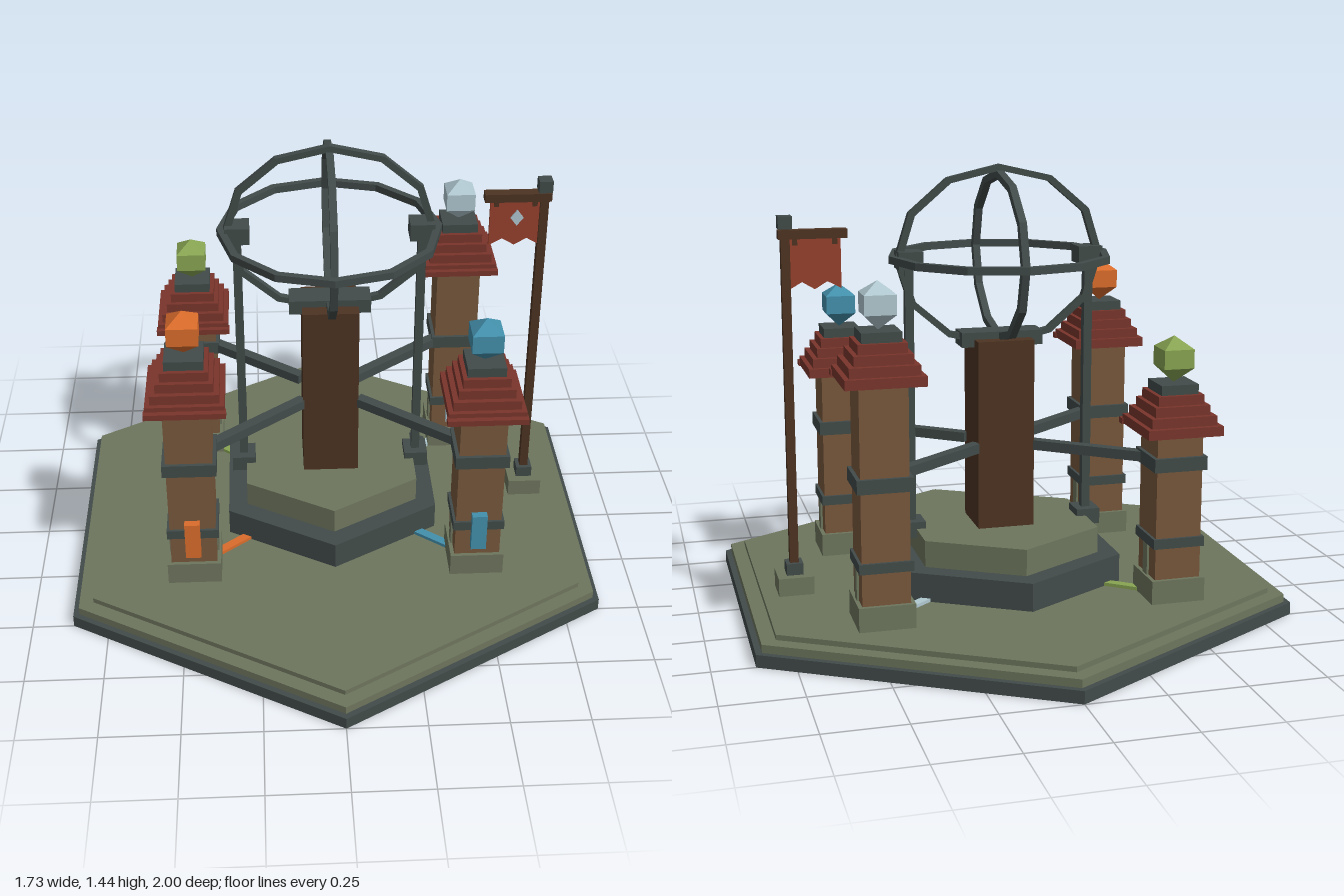
import * as THREE from 'three';

const mat = (name, hex, side = THREE.FrontSide) => {
  const m = new THREE.MeshStandardMaterial({ color: hex, side });
  m.name = name;
  return m;
};

export function createModel() {
  const M = {
    stone: mat('mossy stone', 0x6d755d),
    slate: mat('dark slate', 0x414b49),
    wood: mat('tower wood', 0x78583c),
    darkWood: mat('dark wood', 0x4c3322),
    roof: mat('roof red', 0x79352b),
    cloth: mat('banner red', 0x96402c, THREE.DoubleSide),
    orange: mat('orange crystal', 0xd96c2b),
    teal: mat('teal crystal', 0x4390ac),
    pale: mat('pale crystal', 0xb0c8d0),
    green: mat('green crystal', 0x88a552),
  };
  const model = new THREE.Group();
  model.name = 'elementalShrine';
  const CZ = -0.062; // depth of the shrine centre

  // Faceted mesh helper
  const add = (parent, name, geo, material, x = 0, y = 0, z = 0) => {
    const g = geo.index ? geo.toNonIndexed() : geo;
    g.computeVertexNormals();
    const mesh = new THREE.Mesh(g, material);
    mesh.name = name;
    mesh.position.set(x, y, z);
    parent.add(mesh);
    return mesh;
  };
  // Box from bottom y0 to top y1
  const box = (parent, name, material, w, d, y0, y1, x = 0, z = 0) =>
    add(parent, name, new THREE.BoxGeometry(w, y1 - y0, d), material, x, (y0 + y1) / 2, z);
  const hex = (name, material, r, y0, y1, z = 0) =>
    add(model, name, new THREE.CylinderGeometry(r, r, y1 - y0, 6), material, 0, (y0 + y1) / 2, z);

  // Hexagonal platform and dais
  hex('platformBase', M.slate, 1, 0, 0.04);
  hex('platformSlab', M.stone, 0.978, 0.04, 0.066);
  hex('platformTop', M.stone, 0.925, 0.066, 0.083);
  hex('daisLower', M.slate, 0.41, 0.083, 0.175, -0.067);
  hex('daisUpper', M.stone, 0.336, 0.175, 0.262, -0.067);

  // Central pillar
  box(model, 'pillar', M.darkWood, 0.187, 0.187, 0.262, 0.885, 0, CZ);
  box(model, 'pillarCap', M.slate, 0.27, 0.09, 0.86, 0.908, 0, CZ);

  // Armillary rings: twelve-sided, square in section
  const ring = (name, rx, rz, turn) => {
    const t = 0.012;
    const section = [[1 - t / rx, -t], [1 + t / rx, -t], [1 + t / rx, t], [1 - t / rx, t], [1 - t / rx, -t]];
    const g = new THREE.LatheGeometry(section.map(p => new THREE.Vector2(...p)), 12);
    g.scale(rx, 1, rz);
    turn(g);
    add(model, name, g, M.slate, 0, 1.148, CZ);
  };
  ring('horizontalRing', 0.352, 0.352, () => {});
  ring('frontRing', 0.334, 0.286, g => g.rotateX(Math.PI / 2));
  ring('sideRing', 0.266, 0.314, g => g.rotateZ(Math.PI / 2));

  // Ring supports
  for (const s of [-1, 1]) {
    box(model, 'supportFoot', M.slate, 0.08, 0.088, 0.232, 0.285, s * 0.3, CZ);
    box(model, 'supportPost', M.slate, 0.028, 0.028, 0.28, 1.13, s * 0.3, CZ);
    box(model, 'supportCap', M.slate, 0.08, 0.078, 1.118, 1.175, s * 0.298, CZ);
  }

  // Four-sided crystal finial with pointed ends
  const crystalGeo = () => {
    const r = 0.049 * Math.SQRT2;
    const pts = [[0, 0], [r, 0.05], [r, 0.11], [0, 0.148]].map(p => new THREE.Vector2(...p));
    return new THREE.LatheGeometry(pts, 4).rotateY(Math.PI / 4);
  };

  // Tower: eave is the height of the roof's lower edge
  const tower = (name, x, z, eave, gem) => {
    const t = new THREE.Group();
    t.name = name;
    t.position.set(x, 0, z);
    model.add(t);
    box(t, 'towerBase', M.stone, 0.176, 0.176, 0.083, 0.16);
    box(t, 'towerBody', M.wood, 0.15, 0.15, 0.16, eave + 0.03);
    box(t, 'lowerBand', M.slate, 0.168, 0.168, 0.264, 0.296);
    box(t, 'upperBand', M.slate, 0.174, 0.174, 0.514, 0.558);
    [0.123, 0.107, 0.09, 0.075].forEach((h, i) =>
      box(t, 'roofTier', M.roof, 2 * h, 2 * h, eave + i * 0.031, eave + (i + 1) * 0.031));
    box(t, 'frontEave', M.roof, 0.254, 0.03, eave - 0.003, eave + 0.016, 0, 0.127);
    box(t, 'roofCap', M.slate, 0.122, 0.122, eave + 0.124, eave + 0.155);
    add(t, 'crystal', crystalGeo(), gem, 0, eave + 0.153, 0);
    box(t, 'gemPanel', gem, 0.05, 0.03, 0.197, 0.33, 0, 0.086);
    for (const s of [-1, 1]) box(t, 'sideBrace', M.stone, 0.008, 0.038, 0.16, 0.264, s * 0.078, 0);

    // Beam and glowing floor channel running towards the centre
    const dx = -x, dz = CZ - z;
    const len = Math.hypot(dx, dz);
    const spoke = (label, material, from, to, w, y0, y1) => {
      const m = box(t, label, material, len * (to - from), w, y0, y1, dx * (from + to) / 2, dz * (from + to) / 2);
      m.rotation.y = Math.atan2(-dz, dx);
    };
    spoke('tieBeam', M.slate, 0.1, 0.8, 0.036, 0.518, 0.55);
    spoke('floorChannel', gem, 0.15, 0.42, 0.03, 0.08, 0.094);
  };
  tower('frontRightTower', -0.468, 0.31, 0.775, M.orange);
  tower('frontLeftTower', 0.468, 0.31, 0.722, M.teal);
  tower('backLeftTower', 0.468, -0.428, 0.84, M.pale);
  tower('backRightTower', -0.468, -0.428, 0.63, M.green);

  // Banner pole
  const banner = new THREE.Group();
  banner.name = 'banner';
  banner.position.set(0.694, 0, -0.085);
  model.add(banner);
  box(banner, 'poleBase', M.stone, 0.114, 0.116, 0.083, 0.142);
  box(banner, 'poleCollar', M.slate, 0.054, 0.058, 0.142, 0.18);
  box(banner, 'pole', M.darkWood, 0.028, 0.03, 0.18, 1.262);
  box(banner, 'poleFinial', M.slate, 0.044, 0.046, 1.26, 1.3);
  box(banner, 'crossbar', M.darkWood, 0.216, 0.04, 1.228, 1.256, -0.086);
  for (const x of [-0.155, -0.03]) box(banner, 'bannerTie', M.darkWood, 0.016, 0.02, 1.208, 1.23, x);

  // Zigzag-ended cloth with a diamond emblem
  const plate = (pts, depth) => new THREE.ExtrudeGeometry(
    new THREE.Shape(pts.map(p => new THREE.Vector2(...p))), { depth, bevelEnabled: false });
  add(banner, 'bannerCloth', plate([[-0.174, 1.23], [-0.174, 1.068], [-0.13, 1.092], [-0.09, 1.068],
    [-0.05, 1.092], [-0.008, 1.068], [-0.008, 1.23]], 0.012), M.cloth, 0, 0, -0.006);
  add(banner, 'bannerEmblem', plate([[-0.086, 1.14], [-0.065, 1.168], [-0.086, 1.196], [-0.107, 1.168]], 0.006),
    M.pale, 0, 0, 0.006);

  return model;
}
